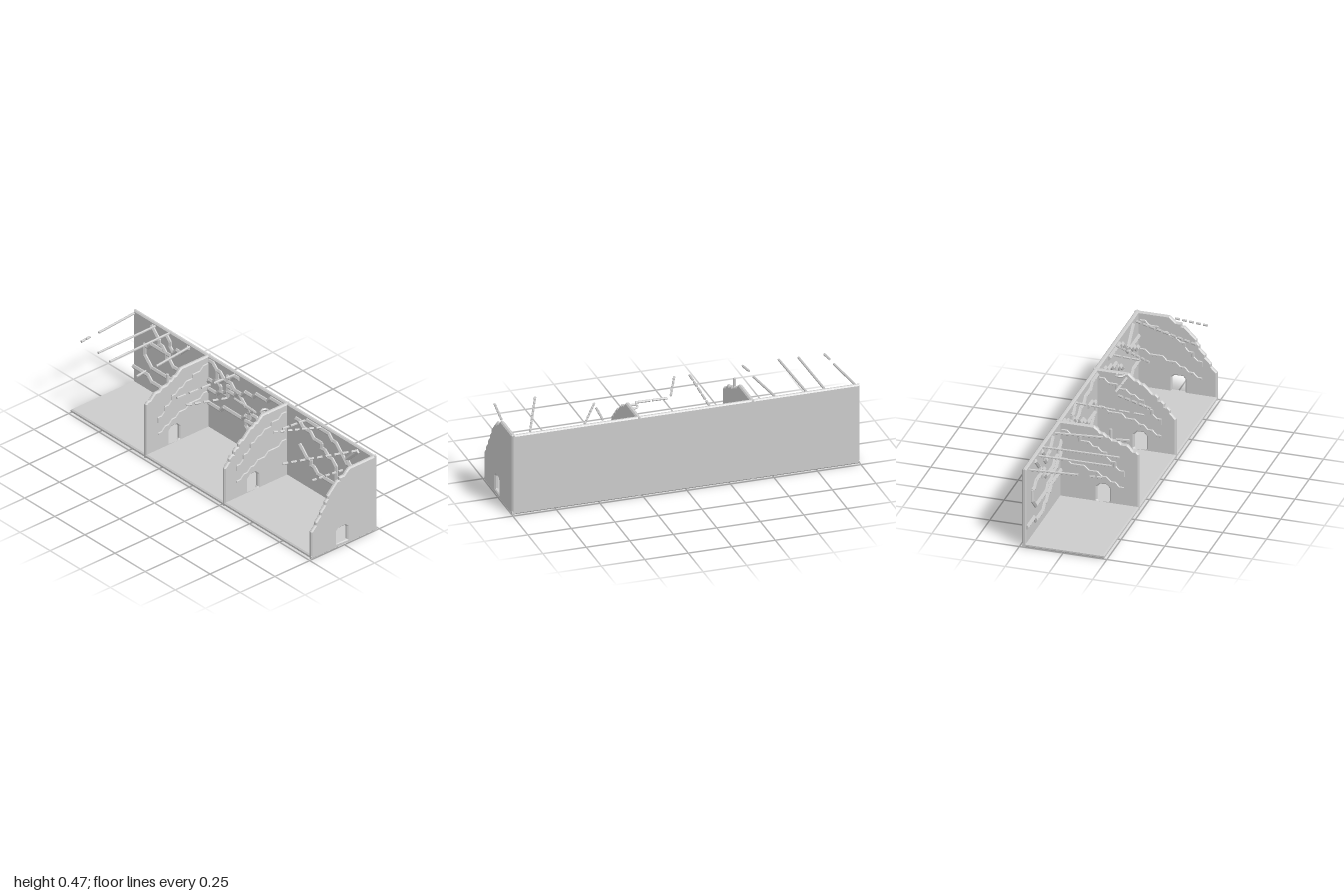
import * as THREE from 'three';
import { mergeGeometries } from 'three/addons/utils/BufferGeometryUtils.js';

const mat = new THREE.MeshStandardMaterial({ color: 0xcccccc, flatShading: true });
const T = 0.024; // wall thickness
const Z = 0.236; // half depth
const H = 0.475; // height

const toPts = (list) => list.map(([u, v]) => new THREE.Vector2(u, v));

// Smooth curve through a few points, snapped to a grid so that it climbs in small steps.
function steppedPath(list, grid) {
  const snap = (n) => Math.round(n / grid) * grid;
  const curve = new THREE.SplineCurve(toPts(list));
  const path = [];
  for (const p of curve.getSpacedPoints(Math.ceil(curve.getLength() / grid))) {
    const q = new THREE.Vector2(snap(p.x), snap(p.y));
    if (!path.length || path[path.length - 1].distanceTo(q) > grid / 2) path.push(q);
  }
  return path;
}

// Rectangle with cut corners
const octagon = (x0, y0, x1, y1, c) => toPts([
  [x0 + c, y0], [x1 - c, y0], [x1, y0 + c], [x1, y1 - c], [x1 - c, y1], [x0 + c, y1], [x0, y1 - c], [x0, y0 + c],
]);

// Flat panel with chamfered edges
function panel(name, outline, holes = []) {
  const b = 0.007;
  const shape = new THREE.Shape(outline);
  holes.forEach((h) => shape.holes.push(new THREE.Path(h)));
  const geo = new THREE.ExtrudeGeometry(shape, {
    depth: T - 2 * b, bevelEnabled: true, bevelThickness: b, bevelSize: b, bevelOffset: -b, bevelSegments: 1,
  });
  geo.translate(0, 0, b - T / 2);
  const mesh = new THREE.Mesh(geo, mat);
  mesh.name = name;
  return mesh;
}

// One chunky faceted rod between two points
function rod(a, b, r) {
  const dir = b.clone().sub(a);
  const geo = new THREE.CylinderGeometry(r, r, dir.length() + r * 0.7, 6);
  geo.applyQuaternion(new THREE.Quaternion().setFromUnitVectors(new THREE.Vector3(0, 1, 0), dir.normalize()));
  const m = a.clone().lerp(b, 0.5);
  return geo.translate(m.x, m.y, m.z);
}

// Chain of rods; fill is the share of each leg that is solid
function vine(name, pts, r, fill = 1) {
  const rods = pts.slice(1).map((p, i) => rod(pts[i], pts[i].clone().lerp(p, fill), r));
  const mesh = new THREE.Mesh(mergeGeometries(rods), mat);
  mesh.name = name;
  return mesh;
}

export function createModel() {
  const g = new THREE.Group();
  g.name = 'ruinedChambers';

  // Floor and back wall
  const floor = panel('floor', toPts([[-1, -Z], [1, -Z], [1, Z], [-1, Z]]));
  floor.rotation.x = -Math.PI / 2;
  floor.position.y = T / 2;
  const back = panel('backWall', toPts([[-1, 0], [1, 0], [1, H], [-1, H]]));
  back.position.z = -Z + T / 2;
  g.add(floor, back);

  // Broken cross walls; each worn edge runs from the front up to the top, as [z, y]
  const cave = octagon(-0.004, 0.012, 0.07, 0.13, 0.02);
  const door = octagon(-0.022, 0.012, 0.055, 0.12, 0.014);
  const walls = [
    { name: 'leftDivider', x: -0.385, hole: cave, edge: [[0.22, 0.35], [0.16, 0.39], [0.08, 0.415], [0, 0.455]] },
    { name: 'rightDivider', x: 0.268, hole: cave, edge: [[0.22, 0.26], [0.14, 0.35], [0.06, 0.41], [-0.01, 0.455]] },
    { name: 'endWall', x: 1 - T / 2, hole: door, edge: [[0.22, 0.19], [0.15, 0.29], [0.1, 0.375], [0.04, 0.43], [-0.02, 0.455]] },
  ];
  for (const w of walls) {
    const worn = steppedPath(w.edge, 0.017);
    const first = worn[0], last = worn[worn.length - 1];
    const m = panel(w.name, [
      ...toPts([[-Z, 0], [Z, 0], [Z, first.y - 0.015]]), ...worn, ...toPts([[last.x - 0.02, H], [-Z, H]]),
    ], [w.hole]);
    m.rotation.y = -Math.PI / 2;
    m.position.x = w.x;
    g.add(m);
  }

  // Raised vines on the back wall, as [x, y]
  const wallVines = [
    [[-0.85, 0.46], [-0.68, 0.29], [-0.54, 0.28], [-0.39, 0.36]],
    [[-0.7, 0.34], [-0.9, 0.3], [-0.8, 0.17], [-0.5, 0.24], [-0.12, 0.46]],
    [[-0.98, 0.12], [-0.72, 0.1], [-0.55, 0.17], [-0.13, 0.21], [0, 0.29]],
    [[-0.72, 0.46], [-0.65, 0.37], [-0.54, 0.45]],
    [[-0.37, 0.46], [-0.12, 0.35], [0.06, 0.24], [0.22, 0.25]],
    [[-0.39, 0.25], [-0.17, 0.33], [0.04, 0.42], [0.25, 0.44]],
    [[-0.31, 0.42], [-0.25, 0.3], [-0.19, 0.37]],
    [[0.09, 0.34], [0.21, 0.29], [0.13, 0.19], [-0.07, 0.2], [0.07, 0.11], [0.25, 0.11]],
    [[0.38, 0.28], [0.55, 0.16], [0.75, 0.15], [0.98, 0.19]],
    [[0.37, 0.42], [0.57, 0.34], [0.69, 0.27], [0.69, 0.17]],
    [[0.46, 0.46], [0.63, 0.44], [0.81, 0.33], [0.98, 0.33]],
    [[0.88, 0.46], [0.79, 0.35], [0.97, 0.26]],
  ];
  for (const line of wallVines) {
    g.add(vine('wallVine', steppedPath(line, 0.03).map((p) => new THREE.Vector3(p.x, p.y, -Z + T)), 0.014));
  }

  // Vines on the inner faces of the cross walls, as [z, y]
  const sideVines = [
    [[-0.2, 0.43], [0.02, 0.33], [0.16, 0.2]],
    [[-0.2, 0.25], [0, 0.19], [0.15, 0.12]],
  ];
  for (const w of walls) {
    for (const s of w.name === 'endWall' ? [-1] : [-1, 1]) {
      for (const line of sideVines) {
        const x = w.x + s * T * 0.42;
        g.add(vine('crossWallVine', steppedPath(line, 0.025).map((p) => new THREE.Vector3(x, p.y, p.x), ), 0.009));
      }
    }
  }

  // Thin strands at ceiling level, each from [x, z] to [x, z] with a number of legs and how solid they are
  const y = H - 0.008;
  const strands = [
    [-0.98, -0.2, -0.955, 0.07, 1, 1],
    [-0.953, 0.14, -0.945, 0.22, 2, 0.6],
    [-0.805, -0.2, -0.8, 0.21, 1, 1],
    [-0.7, -0.21, -0.69, 0.22, 1, 1],
    [-0.52, -0.2, -0.49, 0.06, 1, 1],
    [-0.49, 0.14, -0.48, 0.21, 1, 1],
    [-0.145, -0.2, -0.17, 0.22, 5, 0.65],
    [0.22, -0.035, 0.03, -0.04, 2, 0.85],
    [0.01, -0.01, -0.09, 0.22, 5, 0.55],
    [0.57, -0.2, 0.43, 0.04, 7, 0.5],
    [0.46, -0.18, 0.445, -0.02, 3, 0.7],
    [0.88, -0.19, 0.71, 0.22, 9, 0.55],
    [0.98, 0, 0.95, 0.21, 5, 0.5],
  ];
  for (const [x0, z0, x1, z1, legs, fill] of strands) {
    const line = new THREE.LineCurve3(new THREE.Vector3(x0, y, z0), new THREE.Vector3(x1, y, z1));
    g.add(vine('ceilingStrand', line.getPoints(legs), 0.007, fill));
  }

  // Small knot of strand above the right divider and a hanging stub on the left one
  const knot = new THREE.Mesh(new THREE.TorusGeometry(0.024, 0.007, 4, 8).rotateX(Math.PI / 2), mat);
  knot.name = 'strandKnot';
  knot.position.set(0.25, y, -0.08);
  const stub = [0.4, y].map((h) => new THREE.Vector3(-0.385, h, 0.073));
  g.add(knot, vine('hangingStub', stub, 0.008));
  return g;
}
